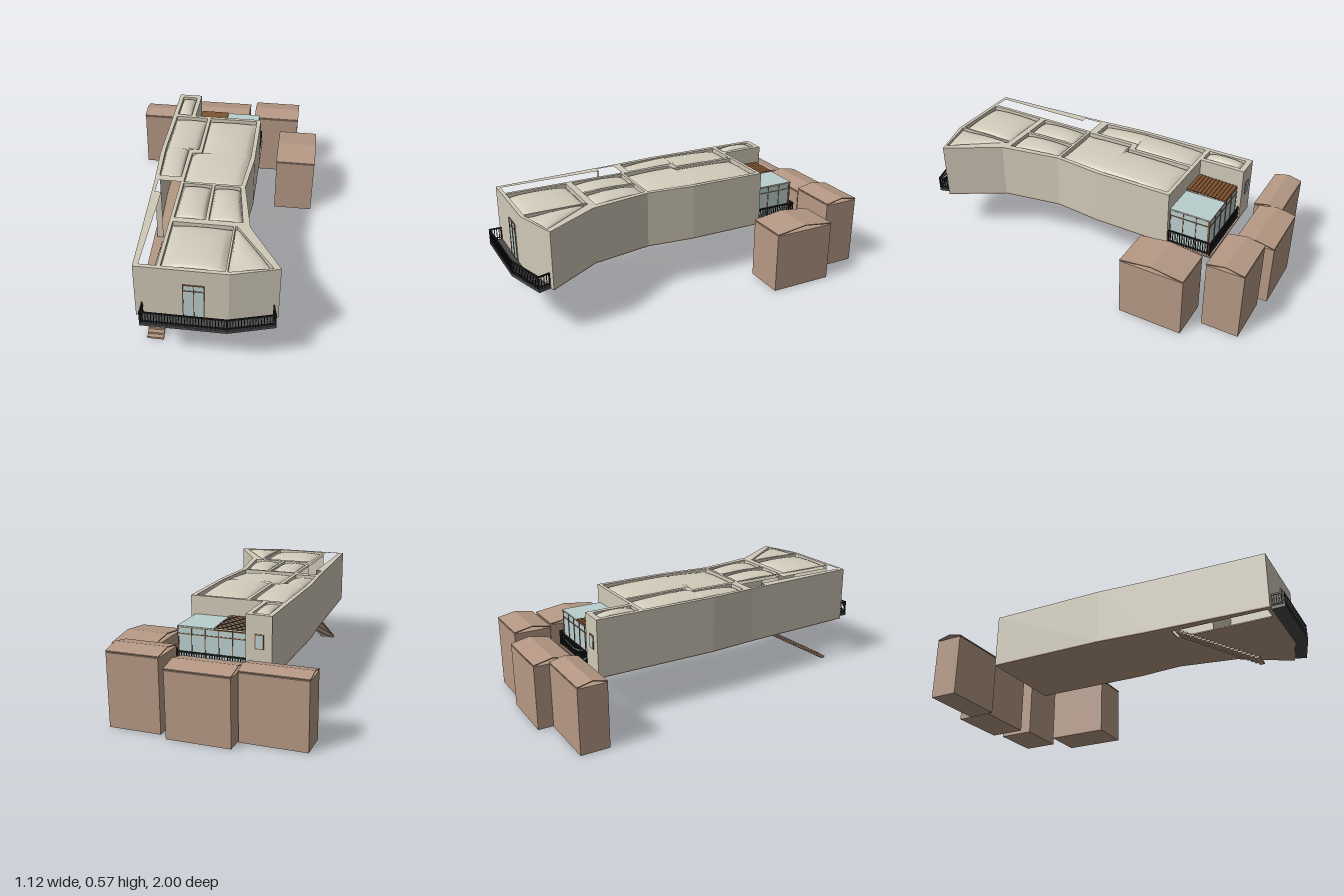
import * as THREE from 'three';

const mat = (name, color, side = THREE.FrontSide) => {
  const m = new THREE.MeshStandardMaterial({ color, side });
  m.name = name;
  return m;
};

export function createModel() {
  const root = new THREE.Group();
  const wall = mat('plaster', 0xd0c9b8);
  const cushion = mat('roof membrane', 0xd2ccbb, THREE.DoubleSide);
  const clay = mat('clay', 0xb59884, THREE.DoubleSide);
  const glass = mat('glass', 0xb9cfce);
  const wood = mat('window wood', 0x8a5f42);
  const slatWood = mat('slat wood', 0x7a4f2f);
  const iron = mat('iron', 0x222222);
  const slate = mat('balcony slate', 0x4a4a4a);

  const add = (name, geo, m, parent = root) => {
    const mesh = new THREE.Mesh(geo, m);
    mesh.name = name;
    parent.add(mesh);
    return mesh;
  };
  const group = (name) => {
    const g = new THREE.Group();
    g.name = name;
    root.add(g);
    return g;
  };
  // box given by its limits
  const box = (name, x0, x1, y0, y1, z0, z1, m, parent) => {
    const b = add(name, new THREE.BoxGeometry(x1 - x0, y1 - y0, z1 - z0), m, parent);
    b.position.set((x0 + x1) / 2, (y0 + y1) / 2, (z0 + z1) / 2);
    return b;
  };
  const toV2 = (pts) => pts.map(([x, z]) => new THREE.Vector2(x, -z));
  // extrude a plan of [x, z] points between two heights
  const slab = (name, pts, holes, y0, y1, m, parent) => {
    const s = new THREE.Shape(toV2(pts));
    for (const h of holes) s.holes.push(new THREE.Path(toV2(h)));
    const geo = new THREE.ExtrudeGeometry(s, { depth: y1 - y0, bevelEnabled: false });
    geo.rotateX(-Math.PI / 2).translate(0, y0, 0);
    return add(name, geo, m, parent);
  };

  // roof bays as rows of [z, left x, right x]
  const bays = [
    [[-0.67, -0.285, -0.2], [-0.455, -0.285, -0.2]],
    [[-0.43, -0.285, -0.1], [-0.08, -0.288, -0.1], [-0.073, -0.288, -0.155], [0.195, -0.272, -0.155]],
    [[-0.43, -0.08, 0.195], [-0.05, -0.08, 0.197], [-0.043, -0.132, 0.196], [0.235, -0.135, 0.172]],
    [[0.25, -0.132, 0.02], [0.545, -0.132, 0.025]],
    [[0.25, 0.035, 0.17], [0.545, 0.042, 0.213]],
    [[0.58, -0.132, 0.17], [0.91, -0.132, 0.17]],
    [[0.58, 0.18, 0.19], [0.86, 0.18, 0.388], [0.91, 0.18, 0.19]],
  ];
  const bayOutline = (rows) => [
    ...rows.map(([z, l]) => [l, z]),
    ...[...rows].reverse().map(([z, , r]) => [r, z]),
  ];
  const stairwell = [[-0.27, 0.24], [-0.15, 0.24], [-0.15, 0.91], [-0.235, 0.91], [-0.235, 0.345], [-0.268, 0.345]];

  // walls
  const front = [[0.22, -0.02], [0.195, 0.245], [0.252, 0.575], [0.423, 0.86], [0.19, 0.93],
    [-0.26, 0.93], [-0.29, 0.25], [-0.31, -0.02], [-0.31, -0.7]];
  slab('walls', [...front, [-0.175, -0.7], [-0.175, -0.45], [0.22, -0.45]],
    [...bays.map(bayOutline), stairwell], 0.256, 0.56, wall);
  slab('floor', [...front, [0.22, -0.7]],
    [[[-0.235, 0.385], [-0.15, 0.385], [-0.15, 0.91], [-0.235, 0.91]]], 0.249, 0.256, clay);

  // swelling roof cushions, one per bay
  const cushions = group('roofCushions');
  for (const rows of bays) {
    const NU = 16, NV = 20, pos = [], idx = [];
    const zStart = rows[0][0], zEnd = rows[rows.length - 1][0];
    let count = 0;
    for (let s = 0; s < rows.length - 1; s++) {
      const [za, la, ra] = rows[s], [zb, lb, rb] = rows[s + 1];
      for (let j = s ? 1 : 0; j <= NV; j++, count++) {
        const t = j / NV, z = za + (zb - za) * t;
        const l = la + (lb - la) * t, r = ra + (rb - ra) * t;
        const v = (z - zStart) / (zEnd - zStart);
        for (let i = 0; i <= NU; i++) {
          const u = i / NU;
          const swell = Math.max(0, 16 * u * (1 - u) * v * (1 - v)) ** 0.4;
          pos.push(l + (r - l) * u, 0.535 + 0.035 * swell, z);
        }
      }
    }
    for (let j = 0; j < count - 1; j++) for (let i = 0; i < NU; i++) {
      const a = j * (NU + 1) + i, b = a + NU + 1;
      idx.push(a, b, a + 1, b, b + 1, a + 1);
    }
    const geo = new THREE.BufferGeometry();
    geo.setAttribute('position', new THREE.Float32BufferAttribute(pos, 3));
    geo.setIndex(idx);
    geo.computeVertexNormals();
    add('cushion', geo, cushion, cushions);
  }

  // railing along a path of [x, z] points
  const railing = (name, path, y0, y1) => {
    const g = group(name);
    for (let k = 0; k < path.length - 1; k++) {
      const [ax, az] = path[k], [bx, bz] = path[k + 1];
      const len = Math.hypot(bx - ax, bz - az), n = Math.max(1, Math.round(len / 0.0135));
      for (const [y, h] of [[y1 - 0.004, 0.008], [y0 + 0.012, 0.005]]) {
        const rail = add('rail', new THREE.BoxGeometry(len, h, 0.006), iron, g);
        rail.position.set((ax + bx) / 2, y, (az + bz) / 2);
        rail.rotation.y = -Math.atan2(bz - az, bx - ax);
      }
      for (let i = 0; i <= n; i++) {
        const w = i % n === 0 ? 0.0035 : 0.0018, t = i / n;
        const x = ax + (bx - ax) * t, z = az + (bz - az) * t;
        box('baluster', x - w, x + w, y0, y1, z - w, z + w, iron, g);
      }
    }
  };

  // front balcony
  slab('balcony', [[-0.23, 0.93], [-0.23, 1], [0.19, 1], [0.418, 0.932], [0.4, 0.868], [0.19, 0.931]],
    [], 0.25, 0.266, slate);
  railing('balconyRailing', [[-0.226, 0.932], [-0.226, 0.995], [0.19, 0.995], [0.413, 0.93], [0.4, 0.872]], 0.266, 0.337);

  // front door: glass plate with frame bars
  const door = group('balconyDoor');
  box('doorGlass', -0.027, 0.075, 0.266, 0.472, 0.925, 0.933, glass, door);
  for (const x of [-0.027, 0.024, 0.073]) box('doorPost', x - 0.002, x + 0.002, 0.266, 0.474, 0.926, 0.936, wood, door);
  for (const y of [0.268, 0.437, 0.472]) box('doorBar', -0.029, 0.075, y - 0.002, y + 0.002, 0.926, 0.9355, wood, door);

  // small window in the back tower
  const win = group('towerWindow');
  box('windowFrame', -0.268, -0.222, 0.39, 0.465, -0.703, -0.698, wood, win);
  box('windowGlass', -0.263, -0.227, 0.395, 0.46, -0.705, -0.698, glass, win);

  // glazed winter garden at the back
  const garden = group('winterGarden');
  box('glassBack', -0.17, 0.192, 0.256, 0.455, -0.672, -0.666, glass, garden);
  box('glassSide', 0.186, 0.192, 0.256, 0.455, -0.672, -0.45, glass, garden);
  box('glassRoof', 0, 0.195, 0.455, 0.461, -0.675, -0.45, glass, garden);
  for (let i = 0; i <= 5; i++) {
    const x = -0.17 + i * 0.0724;
    box('backPost', x - 0.002, x + 0.002, 0.256, 0.456, -0.675, -0.664, wood, garden);
  }
  for (let i = 0; i <= 3; i++) {
    const z = -0.67 + i * 0.0727;
    box('sidePost', 0.185, 0.195, 0.256, 0.456, z - 0.002, z + 0.002, wood, garden);
  }
  for (const y of [0.42, 0.454]) {
    box('backBar', -0.17, 0.195, y - 0.002, y + 0.002, -0.6755, -0.664, wood, garden);
    box('sideBar', 0.185, 0.1955, y - 0.002, y + 0.002, -0.675, -0.45, wood, garden);
  }
  for (let i = 0; i < 11; i++) {
    const slat = add('roofSlat', new THREE.BoxGeometry(0.168, 0.003, 0.0225), slatWood, garden);
    slat.position.set(-0.085, 0.463 + i * 0.0008, -0.663 + i * 0.0203);
    slat.rotation.x = 0.2;
  }
  railing('gardenRailing', [[-0.172, -0.69], [0.21, -0.69], [0.21, -0.452]], 0.256, 0.335);

  // stairs down to the ground
  const stairs = group('stairs');
  const steps = 21;
  for (let i = 0; i < steps; i++) {
    const y = i * 0.0121, z = 0.848 - i * 0.0208;
    box('tread', -0.235, -0.15, y, y + 0.0115, z - 0.025, z, clay, stairs);
  }

  // neighbouring houses with thin folded roofs: x0, x1, z0, z1, wall height, ridge height
  const houses = [
    [-0.56, -0.22, -0.92, -0.765, 0.345, 0.371],
    [-0.215, 0.115, -1, -0.795, 0.343, 0.373],
    [0.16, 0.435, -0.963, -0.763, 0.383, 0.411],
    [0.33, 0.557, -0.7, -0.35, 0.33, 0.362],
  ];
  for (const [x0, x1, z0, z1, h, top] of houses) {
    const g = group('house');
    box('houseWalls', x0, x1, 0, h, z0, z1, clay, g);
    const mid = (z0 + z1) / 2, e = h + 0.004, t = 0.005;
    const fold = new THREE.Shape([[z0, e], [mid, top - t], [z1, e], [z1, e + t], [mid, top], [z0, e + t]]
      .map(([z, y]) => new THREE.Vector2(-z, y)));
    const roof = new THREE.ExtrudeGeometry(fold, { depth: x1 - x0 + 0.004, bevelEnabled: false });
    roof.rotateY(Math.PI / 2).translate(x0 - 0.002, 0, 0);
    add('houseRoof', roof, clay, g);
  }
  return root;
}
